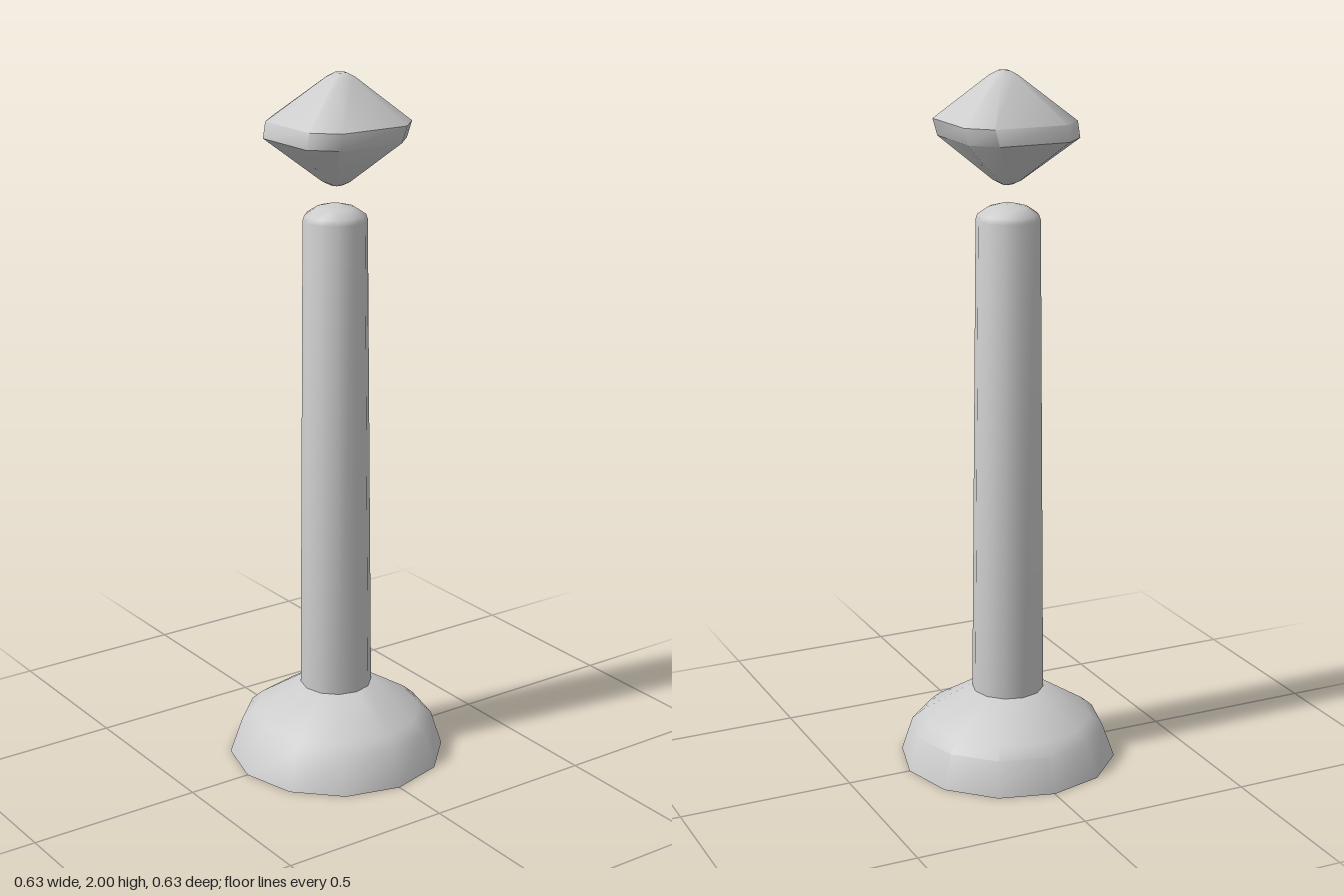
import * as THREE from 'three';
import { toCreasedNormals } from 'three/addons/utils/BufferGeometryUtils.js';

// Skin closed rings (listed bottom to top, each running +x to +z), capped at both ends.
function loft(rings, crease) {
  const n = rings[0].length, points = [], index = [];
  rings.forEach(r => r.forEach(p => points.push(...p)));
  for (let k = 0; k < rings.length - 1; k++) {
    for (let i = 0; i < n; i++) {
      const a = k * n + i, b = k * n + (i + 1) % n;
      index.push(a, a + n, b, b, a + n, b + n);
    }
  }
  const last = (rings.length - 1) * n;
  for (let i = 1; i < n - 1; i++) {
    index.push(0, i, i + 1, last, last + i + 1, last + i);
  }
  const g = new THREE.BufferGeometry();
  g.setAttribute('position', new THREE.Float32BufferAttribute(points, 3));
  g.setIndex(index);
  return toCreasedNormals(g, crease);
}

// Regular ring with a slight centre offset.
function circle(radius, y, cx = 0, cz = 0, sides = 12) {
  return Array.from({ length: sides }, (_, i) => {
    const a = i / sides * Math.PI * 2;
    return [cx + radius * Math.cos(a), y, cz + radius * Math.sin(a)];
  });
}

// Square ring with cut corners: half-width h, straight half-edge e.
function octagon(h, e, y, cx, cz) {
  return [[h, -e], [h, e], [e, h], [-e, h], [-h, e], [-h, -e], [-e, -h], [e, -h]]
    .map(([x, z]) => [cx + x, y, cz + z]);
}

export function createModel() {
  const group = new THREE.Group();
  const stone = new THREE.MeshStandardMaterial({ color: 0xcccccc });
  stone.name = 'greyStone';

  const add = (name, geometry) => {
    const mesh = new THREE.Mesh(geometry, stone);
    mesh.name = name;
    group.add(mesh);
  };

  // Flared twelve-sided foot
  add('base', loft([
    circle(0.314, 0),
    circle(0.28, 0.1, -0.004, -0.004),
    circle(0.245, 0.13, -0.005, -0.004),
    circle(0.11, 0.215, -0.007, -0.003),
  ], 0.7));

  // Tapered shaft with a rounded tip
  add('column', loft([
    circle(0.104, 0.19, -0.007, -0.003),
    circle(0.09, 1.595, -0.01, -0.003),
    circle(0.085, 1.61, -0.01, -0.003),
    circle(0.055, 1.63, -0.01, -0.003),
    circle(0.02, 1.639, -0.01, -0.003),
  ], 0.8));

  // Floating crystal, leaning slightly towards +x and -z
  add('crystal', loft([
    octagon(0.014, 0.008, 1.692, -0.006, -0.004),
    octagon(0.034, 0.02, 1.703, -0.006, -0.004),
    octagon(0.166, 0.103, 1.822, -0.008, -0.001),
    octagon(0.168, 0.106, 1.868, -0.002, -0.009),
    octagon(0.034, 0.02, 1.988, 0.004, -0.01),
    octagon(0.014, 0.008, 2, 0.004, -0.01),
  ], 0.85));

  return group;
}
